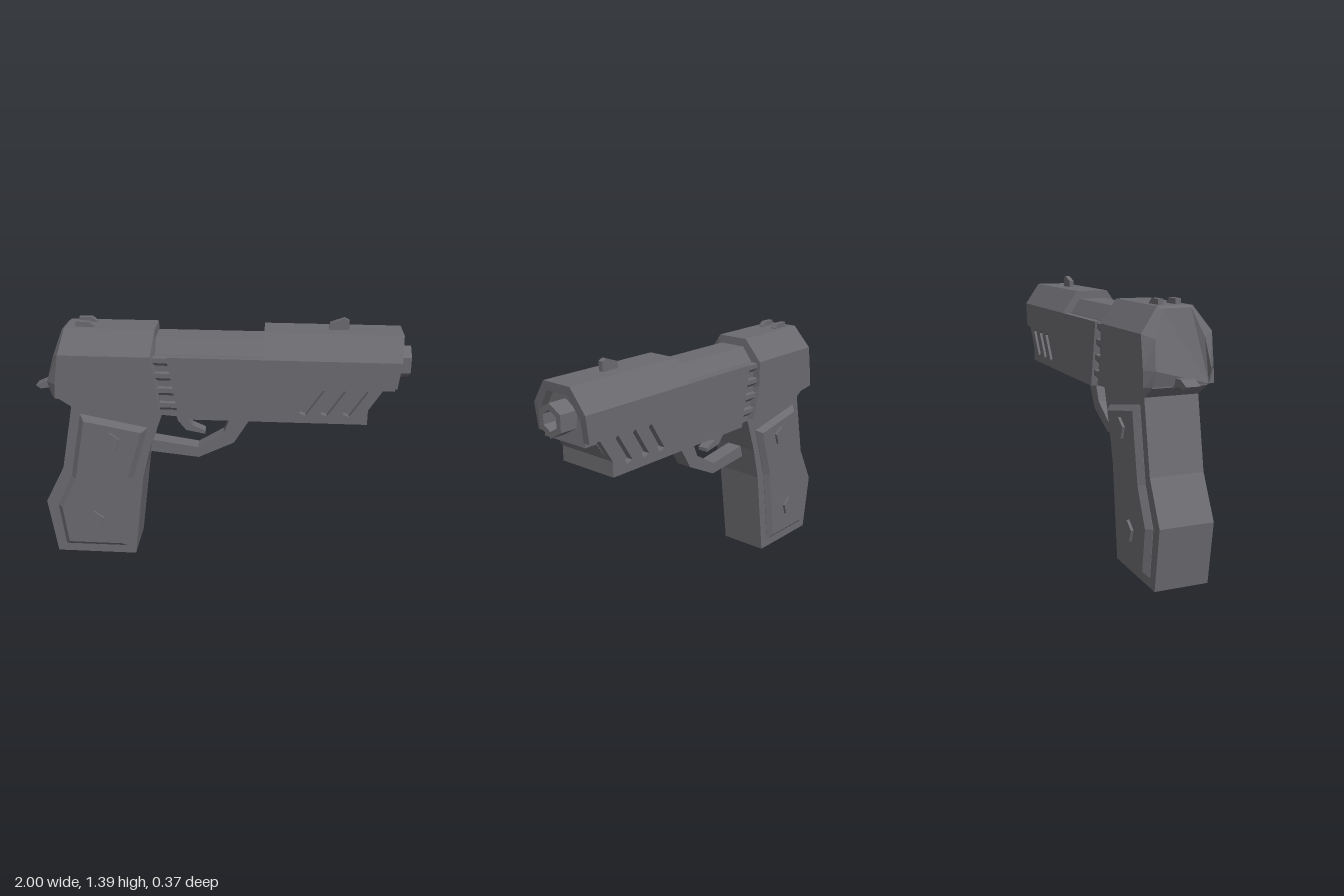
import * as THREE from 'three';

const gunmetal = new THREE.MeshStandardMaterial({ color: 0x6b6a6f });
gunmetal.name = 'gunmetal';
gunmetal.flatShading = true;

const toShape = (pts) => new THREE.Shape(pts.map(([x, y]) => new THREE.Vector2(x, y)));

// Side profile (x, y) extruded in z from z0 to z1
function sidePlate(pts, z0, z1, holes = []) {
  const shape = toShape(pts);
  shape.holes = holes.map(toShape);
  const g = new THREE.ExtrudeGeometry(shape, { depth: z1 - z0, bevelEnabled: false });
  return g.translate(0, 0, z0);
}

// Front profile (z, y), extruded along x from x0 to x1
function alongX(pts, x0, x1, holes = []) {
  return sidePlate(pts, x0, x1, holes).rotateY(Math.PI / 2);
}

const polygon = (n, r, cx, cy) => Array.from({ length: n }, (_, i) => {
  const a = Math.PI / 2 + (i * 2 * Math.PI) / n;
  return [cx + r * Math.cos(a), cy + r * Math.sin(a)];
});

const mirrored = (half) => [...half, ...half.slice().reverse().map(([z, y]) => [-z, y])];

// Capped loft through half rings of [x, y, z], mirrored in z, ordered toward +x
function loft(halves) {
  const rings = halves.map((h) => [...h, ...h.slice().reverse().map(([x, y, z]) => [x, y, -z])]);
  const n = rings[0].length;
  const index = [];
  for (let i = 0; i < rings.length - 1; i++) {
    for (let j = 0; j < n; j++) {
      const a = i * n + j, b = i * n + ((j + 1) % n);
      index.push(a, a + n, b + n, a, b + n, b);
    }
  }
  const e = (rings.length - 1) * n;
  for (let k = 1; k < n - 1; k++) index.push(0, k, k + 1, e, e + k + 1, e + k);
  const g = new THREE.BufferGeometry();
  g.setAttribute('position', new THREE.Float32BufferAttribute(rings.flat(2), 3));
  g.setIndex(index);
  const flat = g.toNonIndexed();
  flat.computeVertexNormals();
  return flat;
}

export function createModel() {
  const model = new THREE.Group();
  model.name = 'pistol';
  const add = (name, geometry) => {
    const mesh = new THREE.Mesh(geometry, gunmetal);
    mesh.name = name;
    model.add(mesh);
  };
  // Same plate on both sides, z0 to z1 outward
  const addPair = (name, pts, z0, z1, holes) => {
    add(name + 'Left', sidePlate(pts, z0, z1, holes));
    add(name + 'Right', sidePlate(pts, -z1, -z0, holes));
  };

  // Inner body: lower frame and faceted upper barrel housing
  add('frame', sidePlate([
    [-0.33, 0.88], [-0.2, 0.87], [0.785, 0.87], [0.785, 0.95], [0.85, 1.045],
    [0.92, 1.045], [0.9, 1.18], [-0.5, 1.18], [-0.5, 0.95],
  ], -0.14, 0.14));
  add('barrelHousing', alongX(mirrored([[0.14, 1.1], [0.14, 1.17], [0.125, 1.21], [0.075, 1.287]]), -0.5, 0.9));

  // Slide side walls with three slanted slots
  const slots = [0.43, 0.54, 0.655].map((x) => [
    [x, 0.925], [x + 0.035, 0.91], [x + 0.127, 1.05], [x + 0.09, 1.07],
  ]);
  addPair('slideWall', [
    [-0.2, 0.87], [0.785, 0.87], [0.785, 0.95], [0.86, 1.07], [0.925, 1.07],
    [0.942, 1.21], [-0.262, 1.21],
  ], 0.138, 0.176, slots);

  // Arched slide cover over the front, with a leaning front edge
  const arch = alongX([
    [0.176, 1.209], [0.09, 1.33], [-0.09, 1.33], [-0.176, 1.209],
    [-0.139, 1.17], [-0.125, 1.2], [-0.072, 1.285], [0.072, 1.285], [0.125, 1.2], [0.139, 1.17],
  ], 0.238, 0.95);
  const p = arch.attributes.position;
  for (let i = 0; i < p.count; i++) {
    if (p.getX(i) > 0.9) p.setX(i, 0.95 - (1.33 - p.getY(i)) * 0.07);
  }
  arch.computeVertexNormals();
  add('slideCover', arch);

  // Hollow hexagonal muzzle
  add('muzzle', alongX(polygon(6, 0.085, 0, 1.165), 0.88, 1, [polygon(6, 0.052, 0, 1.165)]));

  // Rear slide block with a tapered back
  add('rearSlide', loft([
    [[-0.885, 0.975, 0.14], [-0.905, 1.05, 0.14], [-0.865, 1.19, 0.125], [-0.82, 1.32, 0.075]],
    [[-0.86, 0.97, 0.18], [-0.855, 1.05, 0.18], [-0.83, 1.21, 0.18], [-0.805, 1.33, 0.09]],
    [[-0.3, 0.89, 0.18], [-0.348, 1.08, 0.18], [-0.345, 1.21, 0.18], [-0.33, 1.33, 0.09]],
  ]));

  // Wedge ribs in the gap between the slide parts
  for (let i = 0; i < 4; i++) {
    const y = 0.9 + i * 0.082;
    add('rib', alongX(mirrored([[0.13, y], [0.165, y + 0.03], [0.165, y + 0.055], [0.13, y + 0.06]]), -0.36, -0.19));
  }

  // Grip core, base plate, bevelled side panels and pentagonal screws
  add('grip', sidePlate([
    [-0.92, 0.01], [-0.47, 0.01], [-0.41, 0.5], [-0.365, 0.68], [-0.3, 0.87], [-0.3, 0.92],
    [-0.87, 0.99], [-0.87, 0.965], [-0.785, 0.91], [-0.855, 0.545], [-0.965, 0.33],
  ], -0.14, 0.14));
  add('basePlate', new THREE.BoxGeometry(0.33, 0.02, 0.2).translate(-0.695, 0.01, 0));
  const panel = toShape([
    [-0.87, 0.06], [-0.52, 0.06], [-0.465, 0.5], [-0.375, 0.8], [-0.74, 0.87],
    [-0.81, 0.5], [-0.9, 0.31],
  ]);
  for (const s of [1, -1]) {
    const g = new THREE.ExtrudeGeometry(panel, {
      depth: 0.02, bevelThickness: 0.028, bevelSize: 0.028, bevelOffset: -0.028, bevelSegments: 1,
    });
    add('gripPanel', g.translate(0, 0, s > 0 ? 0.122 : -0.142));
  }
  addPair('upperScrew', polygon(5, 0.055, -0.58, 0.725), 0.15, 0.184);
  addPair('lowerScrew', polygon(5, 0.055, -0.69, 0.24), 0.15, 0.184);

  // Trigger and its guard
  add('trigger', sidePlate([
    [-0.245, 0.88], [-0.225, 0.8], [-0.18, 0.745], [-0.075, 0.725], [-0.075, 0.745],
    [-0.145, 0.775], [-0.175, 0.83], [-0.18, 0.88],
  ], -0.03, 0.03));
  add('triggerGuard', sidePlate([
    [-0.4, 0.62], [-0.11, 0.59], [0.085, 0.685], [0.2, 0.875], [0.085, 0.875],
    [0.025, 0.735], [-0.115, 0.65], [-0.4, 0.692],
  ], -0.045, 0.045));

  // Hammer spur, narrowing toward the slide
  add('hammer', sidePlate([
    [-1, 0.987], [-0.975, 0.968], [-0.92, 0.977], [-0.84, 0.945], [-0.84, 1.01], [-0.945, 1.012],
  ], -0.036, 0.036));

  // Accessory rail under the frame
  add('rail', sidePlate([[0.43, 0.84], [0.63, 0.84], [0.63, 0.88], [0.43, 0.88]], -0.07, 0.07));

  // Sights
  for (const z of [-0.045, 0.045]) {
    add('rearSight', sidePlate([
      [-0.75, 1.32], [-0.655, 1.32], [-0.655, 1.335], [-0.68, 1.357], [-0.75, 1.357],
    ], z - 0.014, z + 0.014));
  }
  add('frontSight', sidePlate([
    [0.575, 1.32], [0.675, 1.32], [0.675, 1.38], [0.65, 1.392], [0.575, 1.365],
  ], -0.013, 0.013));

  return model;
}
